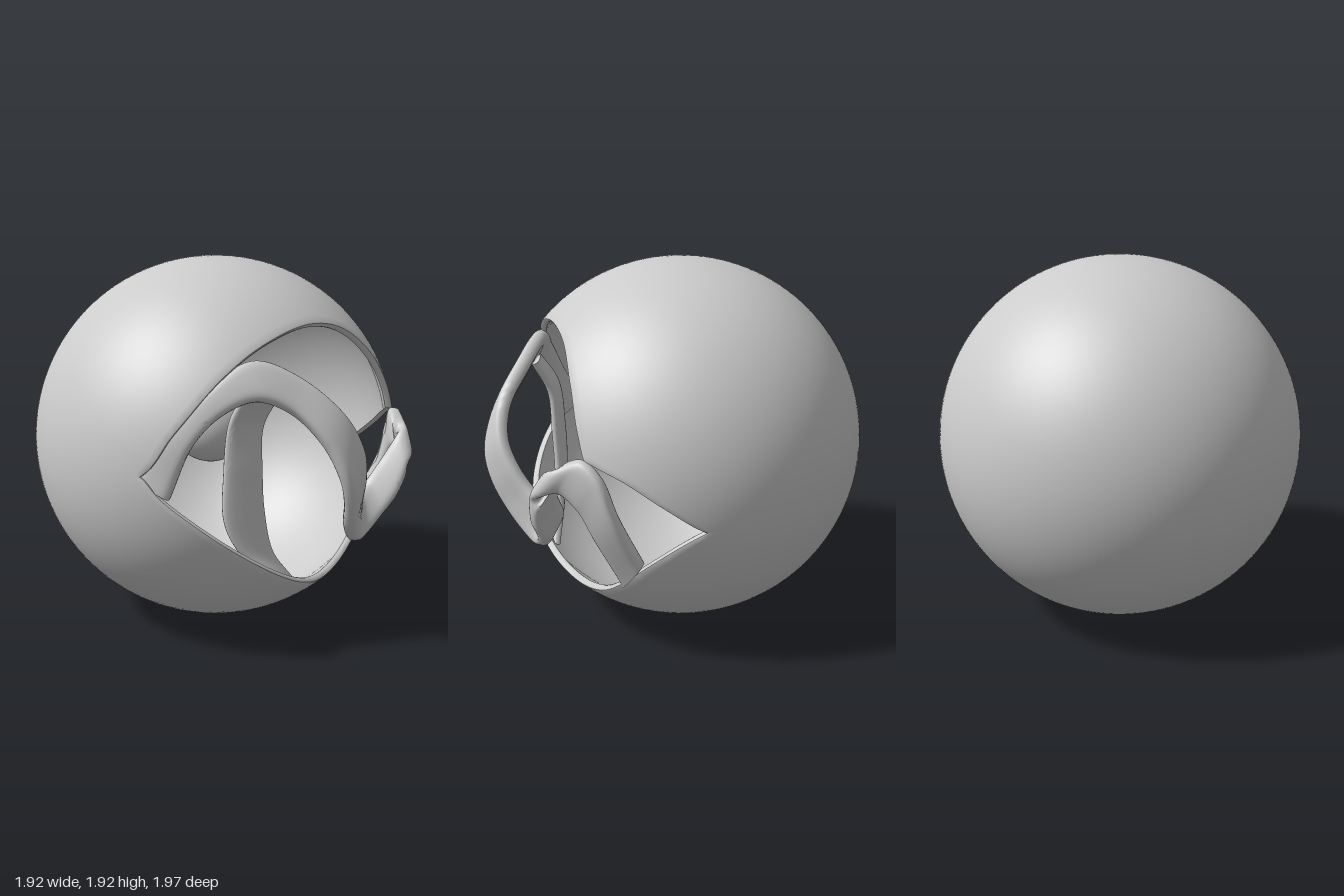
import * as THREE from 'three';
import { toCreasedNormals } from 'three/addons/utils/BufferGeometryUtils.js';

const R = 0.96, RI = 0.922;
const CENTER = new THREE.Vector3(0, 0.964, -0.043);
const mat = new THREE.MeshStandardMaterial({ color: 0xcccccc });

// Joins closed rings of points into one surface
function skin(rings, caps = false) {
  const n = rings[0].length, pos = [], idx = [];
  rings.forEach(r => r.forEach(p => pos.push(p.x, p.y, p.z)));
  for (let j = 0; j < rings.length - 1; j++)
    for (let i = 0; i < n; i++) {
      const a = j * n + i, b = j * n + (i + 1) % n;
      idx.push(a, a + n, b, b, a + n, b + n);
    }
  if (caps) {
    const last = (rings.length - 1) * n;
    for (let i = 1; i < n - 1; i++) {
      idx.push(0, i, i + 1);
      idx.push(last, last + i + 1, last + i);
    }
  }
  const g = new THREE.BufferGeometry();
  g.setAttribute('position', new THREE.Float32BufferAttribute(pos, 3));
  g.setIndex(idx);
  return g;
}

const spline = pts => new THREE.CatmullRomCurve3(pts, false, 'centripetal');

// Outline of the opening as seen from the front, in three smooth pieces
function openingOutline() {
  const pieces = [
    [[0.48, 1.13], [0.42, 1.25], [0.3, 1.43], [0.1, 1.59], [-0.15, 1.64], [-0.45, 1.57],
      [-0.68, 1.42], [-0.85, 1.2], [-0.93, 0.99]],
    [[-0.93, 0.99], [-0.89, 0.87], [-0.75, 0.69], [-0.5, 0.49], [-0.2, 0.335], [0.05, 0.28],
      [0.3, 0.33], [0.5, 0.45], [0.7, 0.63], [0.87, 0.81]],
    [[0.87, 0.81], [0.79, 0.93], [0.66, 1.05], [0.48, 1.13]],
  ];
  return pieces.flatMap(p => spline(p.map(([x, y]) => new THREE.Vector3(x, y - CENTER.y, 0)))
    .getPoints(p.length > 5 ? 72 : 28).slice(0, -1));
}

// Hollow ball: inner wall, rounded rim, outer wall, each running to the back pole
function shellGeometry() {
  const outline = openingOutline().map(p => ({
    phi: Math.atan2(p.y, p.x),
    polar: Math.asin(Math.min(0.999, Math.hypot(p.x, p.y) / R)),
  }));
  const ring = (r, t, inset) => outline.map(o => {
    const a = THREE.MathUtils.lerp(o.polar + inset, Math.PI, t), s = r * Math.sin(a);
    return new THREE.Vector3(s * Math.cos(o.phi), s * Math.sin(o.phi), r * Math.cos(a)).add(CENTER);
  });
  const rows = 56, rings = [];
  for (let j = rows; j >= 0; j--) rings.push(ring(RI, j / rows, 0.012));
  rings.push(ring(RI + 0.01, 0, 0.003), ring(R - 0.01, 0, 0), ring(R - 0.003, 0, 0.003));
  for (let j = 0; j <= rows; j++) rings.push(ring(R, j / rows, 0.012));
  return toCreasedNormals(skin(rings), 0.7);
}

// Band with rounded edges between two edge curves.
// Each row is one point on the first edge and one on the second.
function bandGeometry(rows, thick, steps) {
  const edgeA = spline(rows.map(r => new THREE.Vector3(r[0], r[1], r[2])));
  const edgeB = spline(rows.map(r => new THREE.Vector3(r[3], r[4], r[5])));
  const mid = t => edgeA.getPoint(t).lerp(edgeB.getPoint(t), 0.5);
  const rings = [];
  for (let j = 0; j <= steps; j++) {
    const t = j / steps, p = mid(t);
    const tan = mid(Math.min(1, t + 0.004)).sub(mid(Math.max(0, t - 0.004)));
    const side = edgeB.getPoint(t).sub(p);
    const out = new THREE.Vector3().crossVectors(side, tan).normalize();
    const ring = [];
    for (let s = 0; s < 24; s++) {
      const a = s / 24 * Math.PI * 2, c = Math.cos(a), d = Math.sin(a);
      ring.push(p.clone()
        .addScaledVector(side, Math.sign(c) * Math.abs(c) ** 0.6)
        .addScaledVector(out, thick * Math.sign(d) * Math.abs(d) ** 0.6));
    }
    rings.push(ring);
  }
  return toCreasedNormals(skin(rings, true), 0.9);
}

export function createModel() {
  const group = new THREE.Group();
  const add = (name, geometry) => {
    const mesh = new THREE.Mesh(geometry, mat);
    mesh.name = name;
    group.add(mesh);
    return mesh;
  };

  add('hollowBall', shellGeometry());

  // Small ball floating in the cavity
  add('innerBall', new THREE.SphereGeometry(0.22, 48, 32)).position.set(0.038, 1.02, -0.1);

  // Wavy band from the left corner of the opening, over two crests, to the lower rim
  add('waveBand', bandGeometry([
    [-0.9, 0.97, 0.14, -0.85, 0.88, 0.3], [-0.84, 1.17, 0.26, -0.78, 1.14, 0.39],
    [-0.69, 1.38, 0.4, -0.68, 1.27, 0.48], [-0.5, 1.5, 0.52, -0.56, 1.33, 0.59],
    [-0.35, 1.42, 0.68, -0.45, 1.27, 0.71], [-0.23, 1.24, 0.86, -0.38, 1.12, 0.85],
    [-0.15, 1.08, 0.91, -0.33, 0.95, 0.93], [-0.08, 0.95, 0.89, -0.27, 0.81, 0.93],
    [0, 0.82, 0.83, -0.17, 0.65, 0.88], [0.1, 0.745, 0.77, 0.02, 0.535, 0.83],
    [0.2, 0.79, 0.77, 0.18, 0.62, 0.87], [0.28, 0.92, 0.83, 0.25, 0.76, 0.94],
    [0.36, 1.05, 0.87, 0.31, 0.9, 0.95], [0.48, 1.13, 0.78, 0.37, 0.95, 0.86],
    [0.57, 1.06, 0.73, 0.44, 0.87, 0.78], [0.62, 0.88, 0.68, 0.47, 0.7, 0.7],
    [0.625, 0.59, 0.54, 0.475, 0.43, 0.56],
  ], 0.04, 170));

  // Strut behind the band, from its first crest to the lower rim
  add('strut', bandGeometry([
    [-0.39, 1.36, 0.62, -0.57, 1.36, 0.53], [-0.41, 1.18, 0.53, -0.555, 1.2, 0.43],
    [-0.4, 0.95, 0.52, -0.555, 0.95, 0.4], [-0.38, 0.75, 0.52, -0.55, 0.7, 0.4],
    [-0.33, 0.52, 0.54, -0.5, 0.55, 0.45], [-0.24, 0.36, 0.6, -0.42, 0.44, 0.54],
  ], 0.025, 50));
  return group;
}
